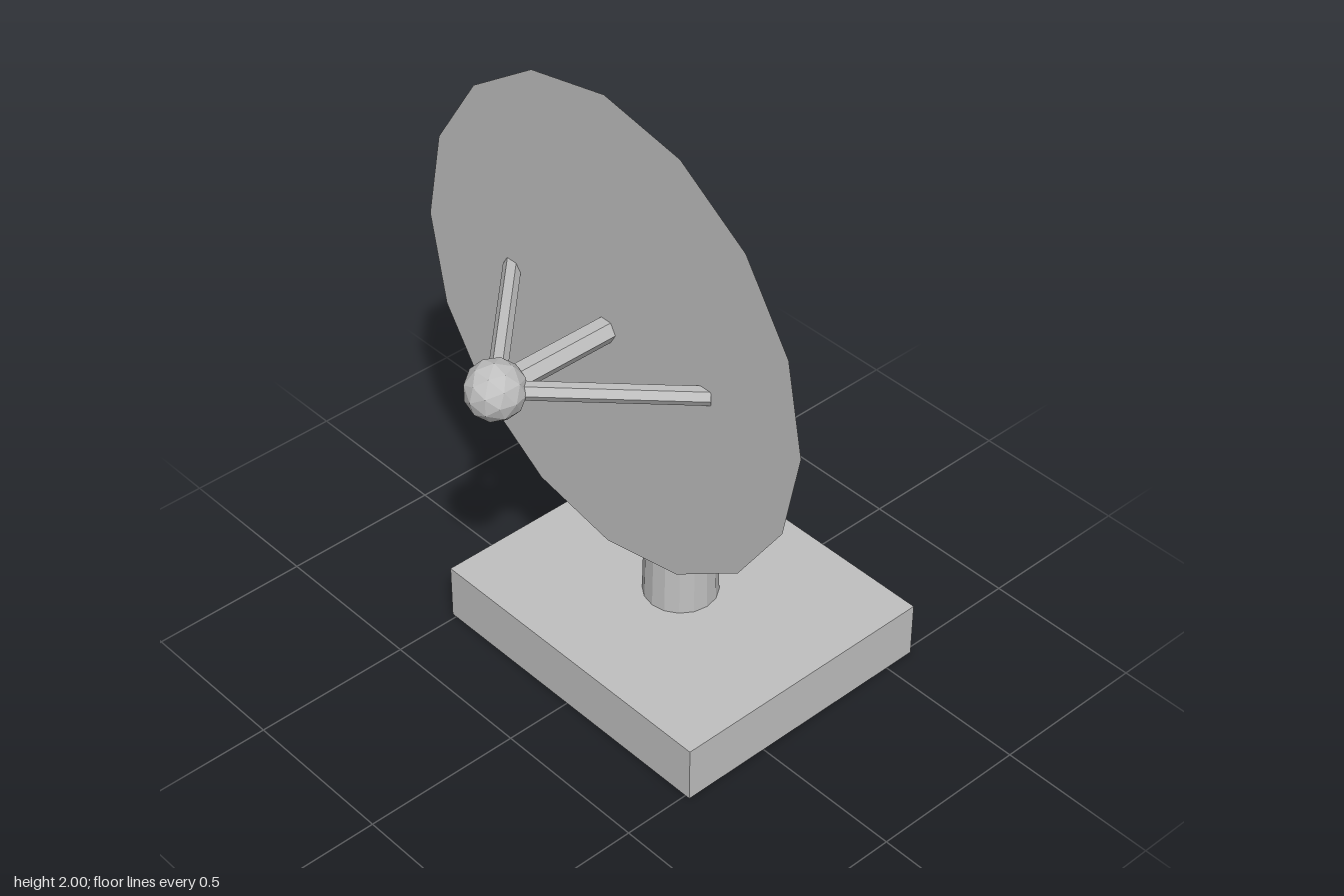
import * as THREE from 'three';

const AXIS_Y = 1.262; // height of the dish axis
const FEED_Z = 0.51;  // focus of the dish

export function createModel() {
  const group = new THREE.Group();
  const grey = new THREE.MeshStandardMaterial({ color: 0xc0c0c0, flatShading: true });
  grey.name = 'light grey';

  const add = (name, geometry, x, y, z) => {
    const mesh = new THREE.Mesh(geometry, grey);
    mesh.name = name;
    mesh.position.set(x, y, z);
    group.add(mesh);
    return mesh;
  };

  // Rectangular slab and tapered mast
  add('base', new THREE.BoxGeometry(1.032, 0.18, 0.887), 0, 0.09, -0.1565);
  const mastHeight = AXIS_Y - 0.18;
  add('mast', new THREE.CylinderGeometry(0.088, 0.113, mastHeight, 16), 0, 0.18 + mastHeight / 2, -0.157);

  // Closed dish: flat back, two flaring bands, flat front
  const profile = [[0, -0.155], [0.18, -0.155], [0.52, -0.005], [0.737, 0.125], [0, 0.125]]
    .map(([r, d]) => new THREE.Vector2(r, d));
  add('dish', new THREE.LatheGeometry(profile, 16).rotateX(Math.PI / 2), 0, AXIS_Y, 0);

  // Hexagonal struts running back from the feed into the dish
  const strut = (name, radius, length, angle) => {
    const geometry = new THREE.CylinderGeometry(radius, radius, length, 6, 1, false, Math.PI / 2)
      .rotateX(Math.PI / 2)
      .translate(0, 0, -length / 2)
      .rotateY(angle);
    add(name, geometry, 0, AXIS_Y, FEED_Z);
  };
  strut('centreStrut', 0.0375, 0.42, 0);
  strut('leftStrut', 0.026, 0.56, -Math.PI / 4);
  strut('rightStrut', 0.026, 0.56, Math.PI / 4);

  // Faceted feed ball
  add('feedBall', new THREE.IcosahedronGeometry(0.086, 1), 0, AXIS_Y, FEED_Z);

  return group;
}
